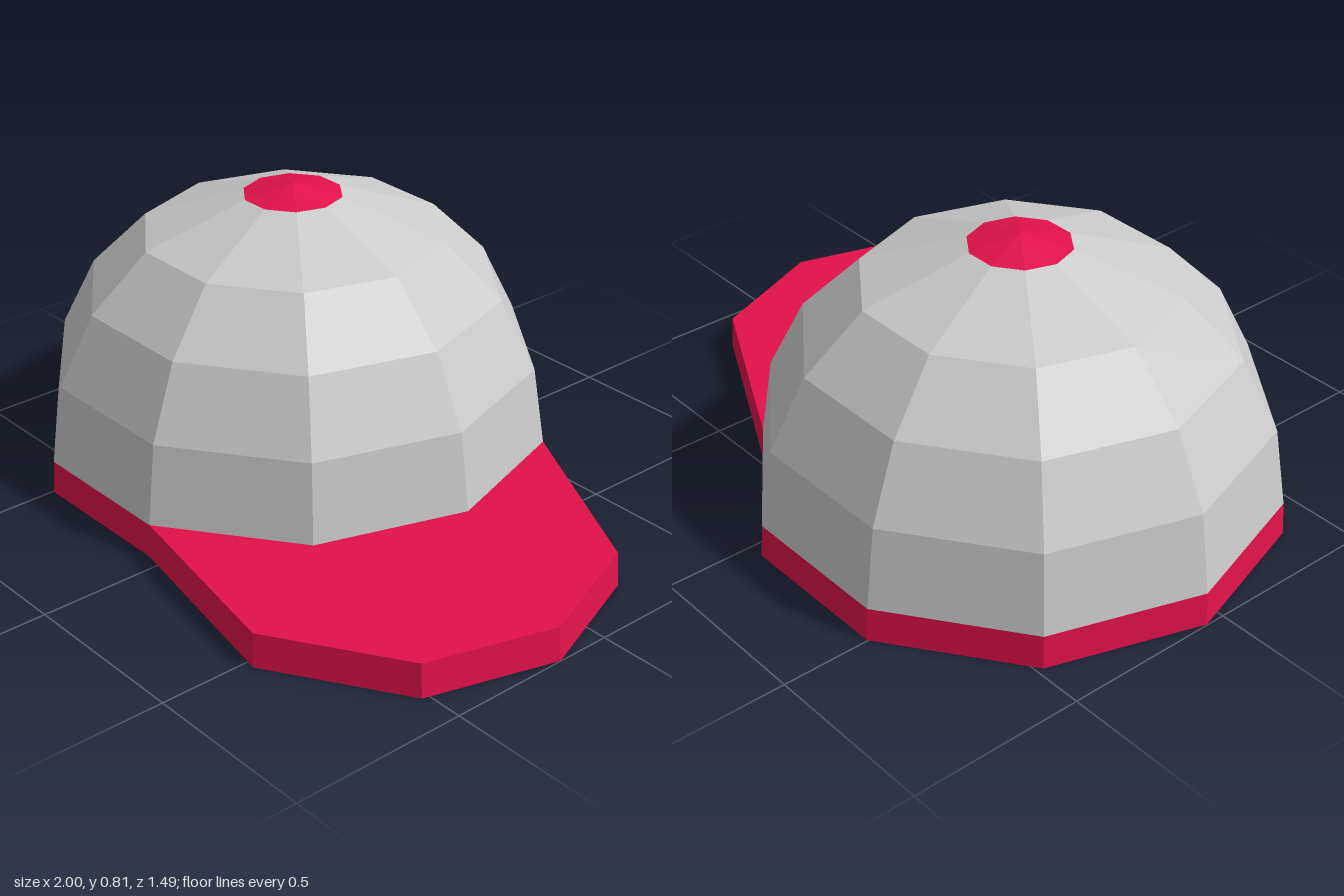
import * as THREE from 'three';

const SIDES = 10;
const R = 0.725;        // radius at the ground
const BAND = 0.095;     // height of band and brim
const TAPER = 0.993;    // slight inward lean of the band and brim

const grey = new THREE.MeshStandardMaterial({ color: 0xcccccc, flatShading: true });
const red = new THREE.MeshStandardMaterial({ color: 0xe3114b, flatShading: true });

// Faceted surface of revolution with a corner on the +x axis
function revolve(name, profile, material, segments = SIDES, start = Math.PI / 2) {
  const points = profile.map(([r, y]) => new THREE.Vector2(r, y));
  const geometry = new THREE.LatheGeometry(points, segments, start, (segments / SIDES) * Math.PI * 2);
  const mesh = new THREE.Mesh(geometry, material);
  mesh.name = name;
  return mesh;
}

// Corner k of the crown's footprint, as [x, z]
function corner(k) {
  const a = (k / SIDES) * Math.PI * 2;
  return [R * Math.cos(a), R * Math.sin(a)];
}

function createBrim() {
  const outline = [
    corner(2), [0.80, 0.80], [1.165, 0.575], [1.272, 0.21], [1.13, -0.15],
    corner(-1), corner(0), corner(1),
  ];
  const shape = new THREE.Shape(outline.map(([x, z]) => new THREE.Vector2(x, -z)));
  const geometry = new THREE.ExtrudeGeometry(shape, { depth: BAND, bevelEnabled: false });
  geometry.rotateX(-Math.PI / 2);
  // Draw the upper edge in to match the band
  const p = geometry.attributes.position;
  for (let i = 0; i < p.count; i++) {
    if (p.getY(i) > BAND / 2) p.setXYZ(i, p.getX(i) * TAPER, p.getY(i), p.getZ(i) * TAPER);
  }
  geometry.computeVertexNormals();
  const brim = new THREE.Mesh(geometry, red);
  brim.name = 'brim';
  return brim;
}

export function createModel() {
  const cap = new THREE.Group();
  cap.name = 'cap';

  // Domed crown
  cap.add(revolve('crown', [
    [R * TAPER, BAND], [0.687, 0.32], [0.588, 0.52], [0.428, 0.68], [0.14, 0.785],
  ], grey));

  // Button on top
  cap.add(revolve('button', [[0.14, 0.785], [0, 0.815]], red));

  // Band around the seven sides that the brim leaves free
  cap.add(revolve('band', [[R, 0], [R * TAPER, BAND]], red, 7, -1.3 * Math.PI));

  cap.add(createBrim());

  // Closed underside
  const underside = new THREE.Mesh(new THREE.CircleGeometry(R, SIDES).rotateX(Math.PI / 2), grey);
  underside.name = 'underside';
  cap.add(underside);

  // The crown sits off centre to balance the brim
  cap.position.set(-0.273, 0, -0.055);
  const model = new THREE.Group();
  model.add(cap);
  return model;
}
